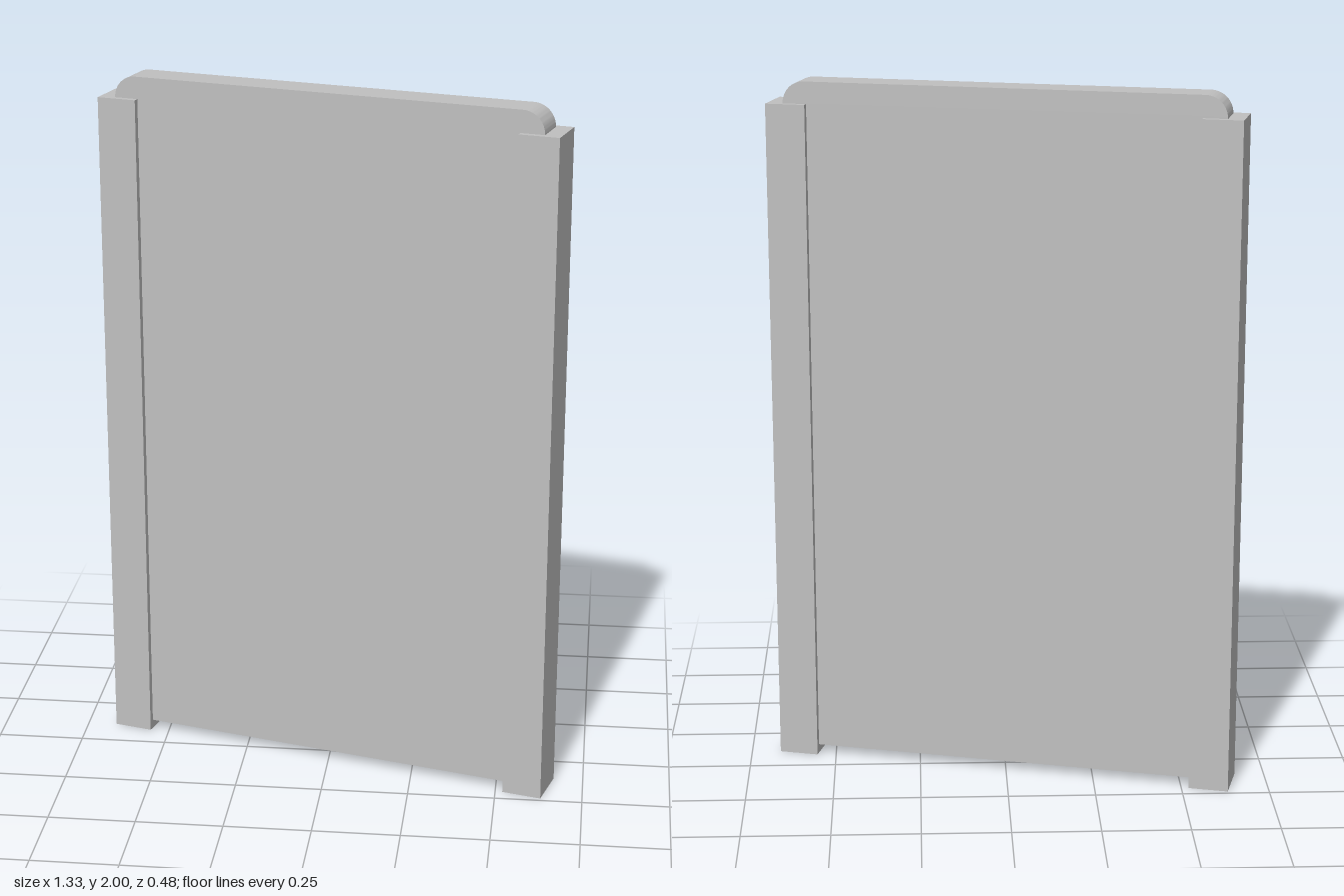
import * as THREE from 'three';
import { toCreasedNormals } from 'three/addons/utils/BufferGeometryUtils.js';

export function createModel() {
  const model = new THREE.Group();
  model.name = 'panelWithPosts';
  const grey = new THREE.MeshStandardMaterial({ color: 0xc0c0c0 });
  grey.name = 'grey';

  // upright panel with rounded top corners
  const w = 0.625, bottom = 0.026, top = 2, r = 0.062, thick = 0.1;
  const outline = new THREE.Shape();
  outline.moveTo(-w, bottom);
  outline.lineTo(w, bottom);
  outline.lineTo(w, top - r);
  outline.absarc(w - r, top - r, r, 0, Math.PI / 2);
  outline.lineTo(-w + r, top);
  outline.absarc(-w + r, top - r, r, Math.PI / 2, Math.PI);
  outline.closePath();
  const panelGeo = new THREE.ExtrudeGeometry(outline, { depth: thick, bevelEnabled: false, curveSegments: 10 });
  panelGeo.translate(0, 0, -thick / 2);
  const panel = new THREE.Mesh(toCreasedNormals(panelGeo, 0.6), grey);
  panel.name = 'panel';
  model.add(panel);

  // square posts holding the two side edges
  const postHeight = 1.937;
  for (const side of [1, -1]) {
    const post = new THREE.Mesh(new THREE.BoxGeometry(0.114, postHeight, 0.134), grey);
    post.name = side > 0 ? 'leftPost' : 'rightPost';
    post.position.set(side * 0.614, postHeight / 2, 0);
    model.add(post);
  }

  // the whole piece stands turned by 15 degrees
  model.rotation.y = -Math.PI / 12;
  const root = new THREE.Group();
  root.name = 'model';
  root.add(model);
  return root;
}
